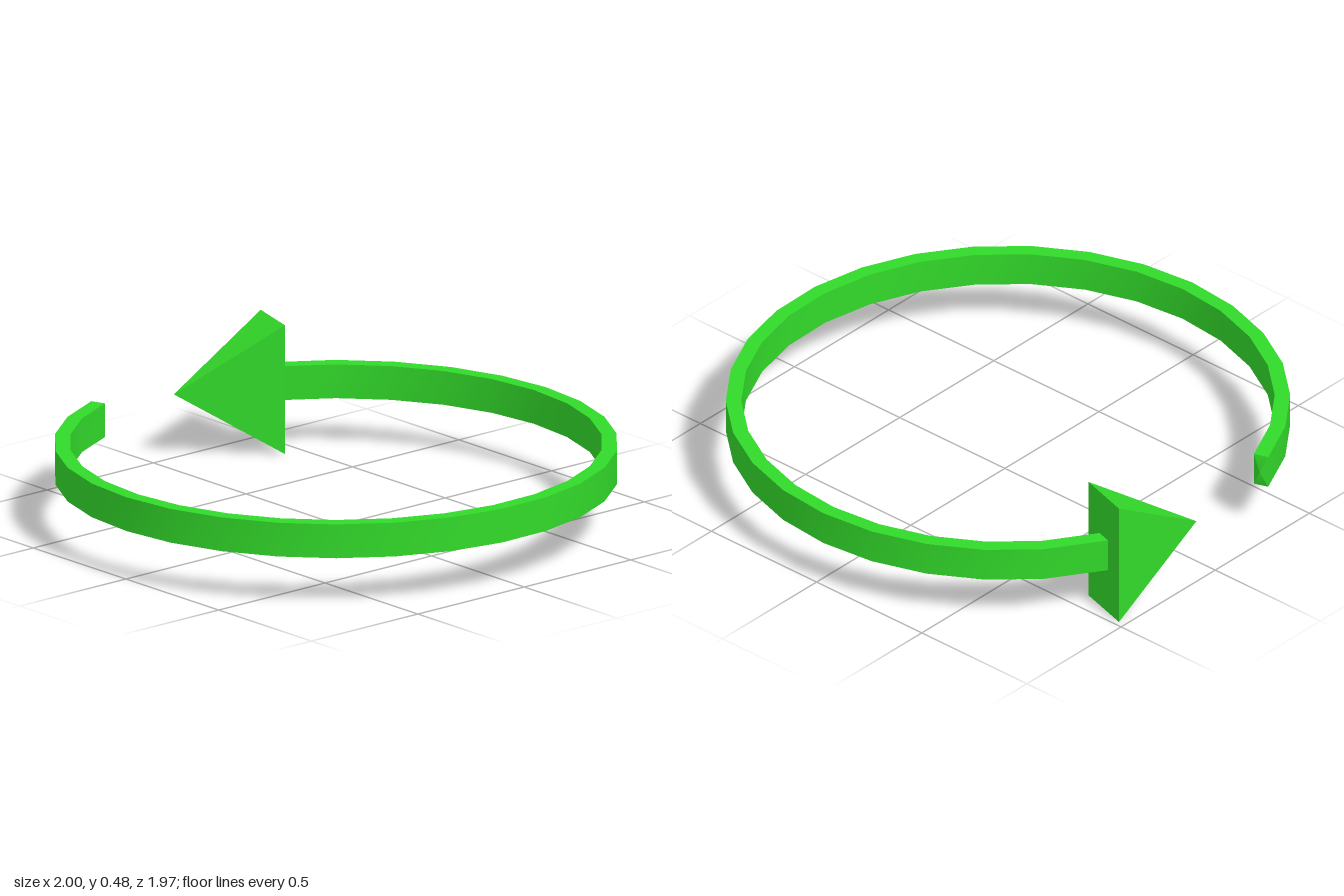
import * as THREE from 'three';
import { toCreasedNormals } from 'three/addons/utils/BufferGeometryUtils.js';

const MID_Y = 0.24;
const material = new THREE.MeshStandardMaterial({ color: 0x32d92a });

// Skin a row of four-cornered sections and close the last one with a point.
function skin(sections, apex, closeStart) {
  const points = [...sections.flat(), apex];
  const tip = points.length - 1;
  const index = [];
  if (closeStart) index.push(0, 2, 1, 0, 3, 2);
  sections.forEach((_, i) => {
    for (let j = 0; j < 4; j++) {
      const a = i * 4 + j, b = i * 4 + (j + 1) % 4;
      if (i < sections.length - 1) index.push(a, b, a + 4, b, b + 4, a + 4);
      else index.push(a, b, tip);
    }
  });
  const geometry = new THREE.BufferGeometry().setFromPoints(points);
  geometry.setIndex(index);
  return toCreasedNormals(geometry, THREE.MathUtils.degToRad(25));
}

// Point on the ring at an angle in degrees, measured from +x towards +z.
function ringPoint(degrees, radius, y) {
  const t = THREE.MathUtils.degToRad(degrees);
  return new THREE.Vector3(radius * Math.cos(t), y, radius * Math.sin(t) - 0.015);
}

export function createModel() {
  const group = new THREE.Group();
  group.name = 'circularArrow';
  const add = (name, geometry) => {
    const mesh = new THREE.Mesh(geometry, material);
    mesh.name = name;
    group.add(mesh);
  };

  // Open band in 12 degree steps, running from inside the head to the tail
  const angles = [-63];
  for (let a = -49; a <= 251; a += 12) angles.push(a);
  const inner = 0.945, outer = 1, low = 0.178, high = 0.303;
  const sections = angles.map(a => [
    ringPoint(a, inner, low), ringPoint(a, outer, low),
    ringPoint(a, outer, high), ringPoint(a, inner, high),
  ]);
  // The tail ends in a shallow point
  const tailPoint = ringPoint(251.8, 0.9725, MID_Y);
  add('curvedShaft', skin(sections, tailPoint, true));

  // Four-sided arrowhead
  const base = [
    [0.481, 0, -0.973], [0.422, 0, -0.775],
    [0.422, 0.477, -0.775], [0.481, 0.477, -0.973],
  ].map(p => new THREE.Vector3(...p));
  add('arrowHead', skin([base], new THREE.Vector3(0.084, MID_Y, -0.986), true));

  return group;
}
